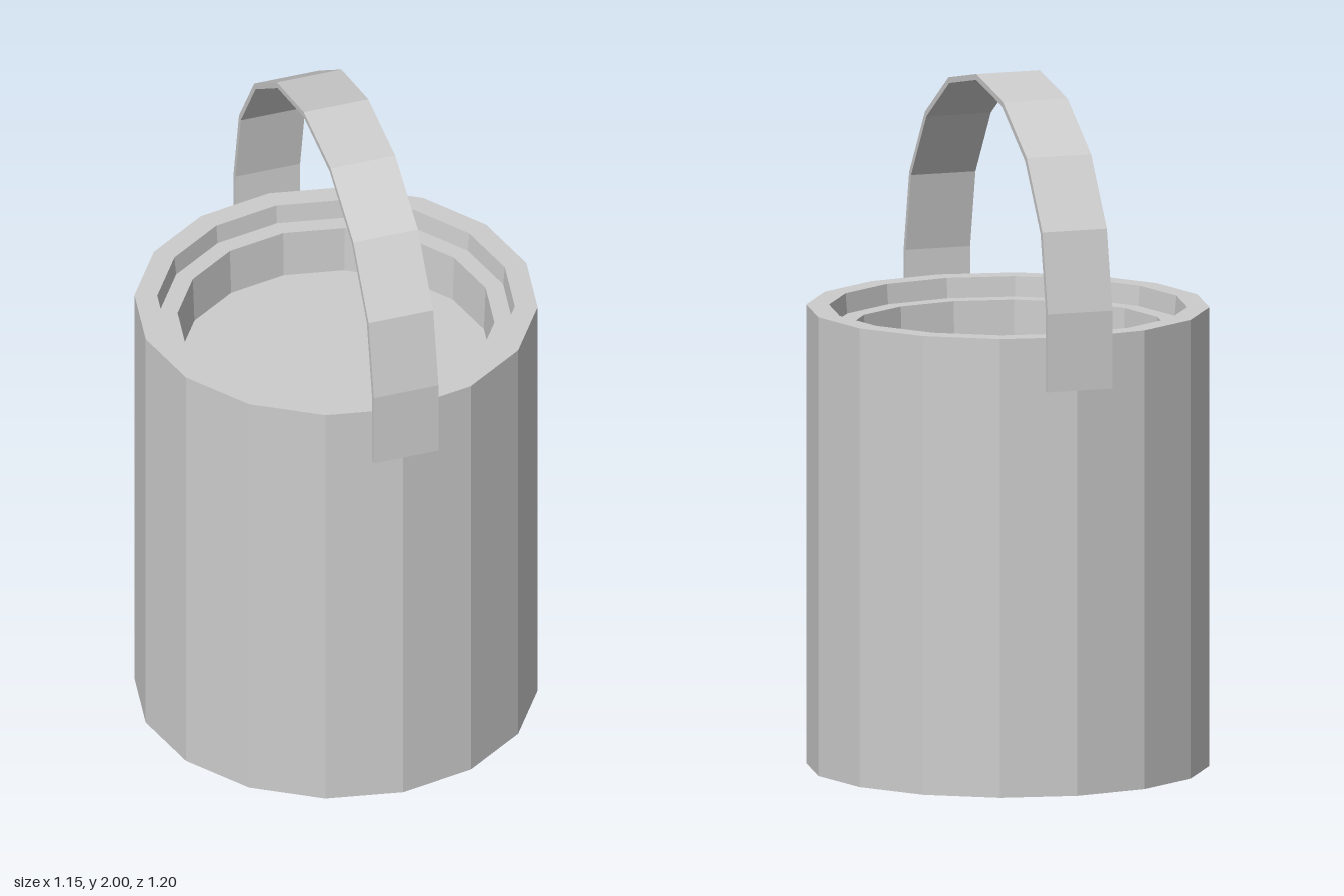
import * as THREE from 'three';

const SIDES = 16;
const HANDLE_WIDTH = 0.195;
const PIVOT_Y = 1.4;

const metal = new THREE.MeshStandardMaterial({ color: 0xcccccc, flatShading: true });
metal.name = 'grey metal';

// Half-circle arc, sampled from one side to the other, with straight ends below
function archPoints(radius, endY) {
  const points = [new THREE.Vector2(radius, endY)];
  for (let i = 0; i <= 8; i++) {
    const a = (i / 8) * Math.PI;
    points.push(new THREE.Vector2(Math.cos(a) * radius, PIVOT_Y + Math.sin(a) * radius));
  }
  points.push(new THREE.Vector2(-radius, endY));
  return points;
}

export function createModel() {
  const group = new THREE.Group();
  group.name = 'bucket';

  // Bucket body: base, outer wall, rim, stepped lip and recessed surface
  const profile = [
    [0, 0], [0.575, 0], [0.575, 1.325], [0.51, 1.325],
    [0.505, 1.267], [0.452, 1.267], [0.447, 1.125], [0, 1.125],
  ].map(([r, y]) => new THREE.Vector2(r, y));
  const body = new THREE.Mesh(new THREE.LatheGeometry(profile, SIDES), metal);
  body.name = 'body';
  group.add(body);

  // Flat strap handle arching from front to back
  const outline = [...archPoints(0.6, 1.175), ...archPoints(0.583, 1.175).reverse()];
  const strap = new THREE.ExtrudeGeometry(new THREE.Shape(outline), {
    depth: HANDLE_WIDTH, bevelEnabled: false,
  });
  strap.translate(0, 0, -HANDLE_WIDTH / 2);
  strap.rotateY(Math.PI / 2);
  const handle = new THREE.Mesh(strap, metal);
  handle.name = 'handle';
  group.add(handle);

  return group;
}
